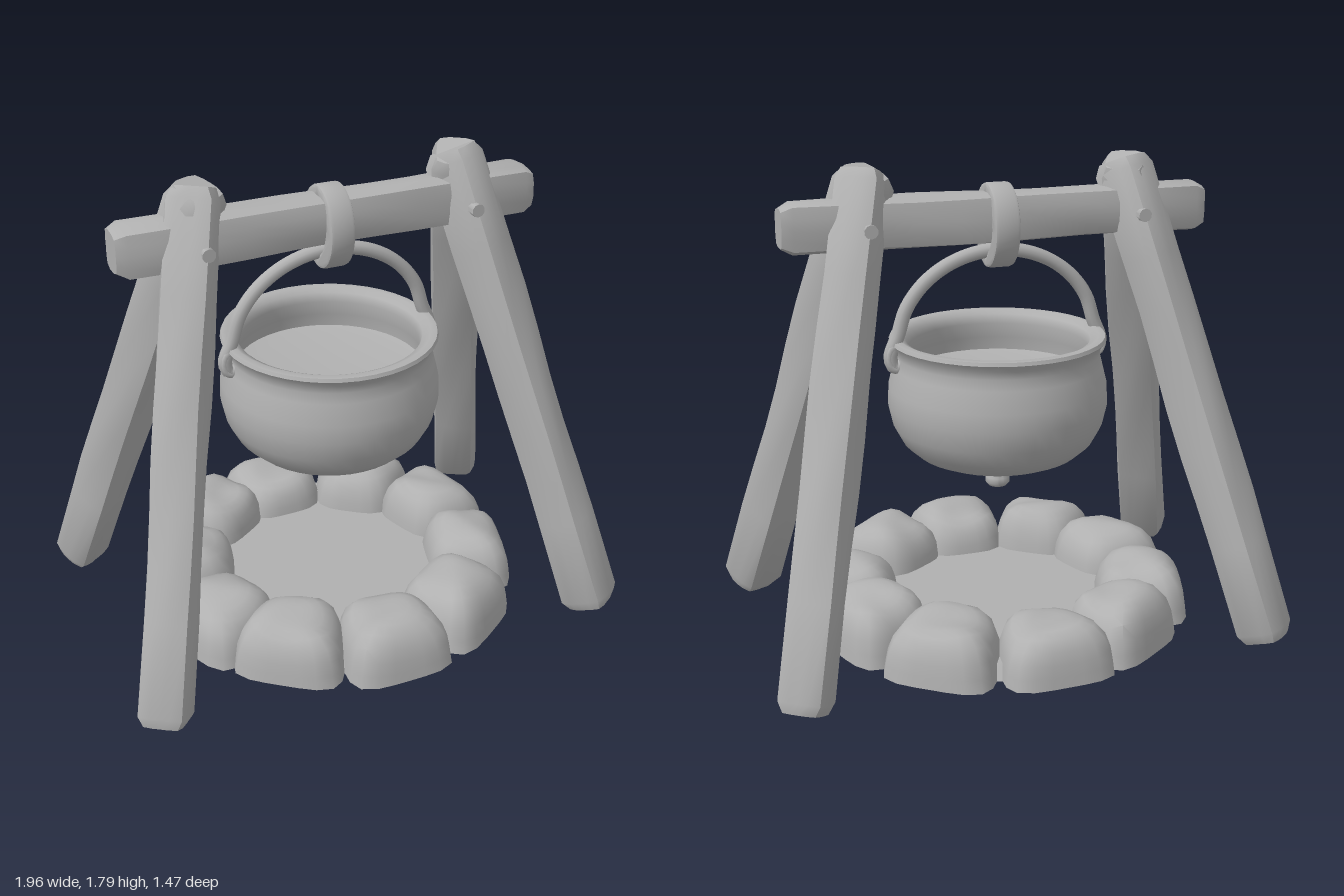
import * as THREE from 'three';
import { toCreasedNormals } from 'three/addons/utils/BufferGeometryUtils.js';

const grey = new THREE.MeshStandardMaterial({ color: 0xb0b0b0 });
grey.name = 'plain grey';

const V = (x, y, z) => new THREE.Vector3(x, y, z);

function add(parent, name, geometry, crease = 0.7) {
  const mesh = new THREE.Mesh(toCreasedNormals(geometry, crease), grey);
  mesh.name = name;
  parent.add(mesh);
  return mesh;
}

// Applies a rule to every vertex of a geometry
function reshape(geometry, rule) {
  const pos = geometry.attributes.position;
  const p = new THREE.Vector3();
  for (let i = 0; i < pos.count; i++) {
    rule(p.fromBufferAttribute(pos, i));
    pos.setXYZ(i, p.x, p.y, p.z);
  }
  return geometry;
}

// Roughly hewn square log along y, with rounded corners and chamfered ends
function logGeometry(length, halfX, halfZ, seed) {
  const rows = 10, half = length / 2, inset = 0.04;
  return reshape(new THREE.CylinderGeometry(1, 1, length, 16, rows), (p) => {
    const round = Math.hypot(p.x, p.z);
    if (round > 0.01) {
      const square = (Math.abs(p.x) ** 5 + Math.abs(p.z) ** 5) ** -0.2;
      const angle = Math.atan2(p.x, p.z);
      const end = Math.abs(p.y) > half - 0.001;
      const wobble = 1 + 0.035 * Math.sin(angle * 2 + p.y * 5 + seed) + 0.025 * Math.sin(angle * 3 - p.y * 8 + seed * 2);
      const s = square * wobble * (end ? 0.78 : 1);
      p.x *= s * halfX;
      p.z *= s * halfZ;
      if (!end && Math.abs(p.y) > half - length / rows - 0.001) p.y = Math.sign(p.y) * (half - inset);
    }
  });
}

// Rounded stone bent to its place in the ring, flat underneath
function stoneGeometry(i) {
  const height = 0.2 + 0.012 * Math.sin(i * 2.3);
  const depth = 0.175 + 0.01 * Math.sin(i * 1.7 + 1);
  const turn = i * Math.PI / 5 + 0.03 * Math.sin(i * 4.1);
  return reshape(new THREE.SphereGeometry(1, 24, 16), (p) => {
    const k = (p.x ** 4 + p.y ** 4 + p.z ** 4) ** -0.25;
    p.multiplyScalar(k);
    const up = Math.max(0, p.y);
    const shrink = 1 - 0.13 * up;
    const radius = 0.555 + depth * p.z * shrink;
    const side = p.x * shrink * (0.195 + 0.03 * p.z);
    const y = 0.06 + height * up + 0.012 * up * Math.sin(p.x * 2 + p.z * 3 + i);
    p.set(
      Math.sin(turn) * radius + Math.cos(turn) * side, y,
      Math.cos(turn) * radius - Math.sin(turn) * side);
  });
}

function buildFrame() {
  const frame = new THREE.Group();
  frame.name = 'frame';

  // Four splayed legs, each pair crossing at the top
  let seed = 1;
  for (const sx of [-1, 1]) {
    for (const sz of [-1, 1]) {
      const foot = V(0.882 * sx, 0.04, 0.575 * sz), head = V(0.49 * sx, 1.78, -0.015 * sz);
      const along = head.clone().sub(foot);
      const leg = add(frame, 'leg', logGeometry(along.length(), 0.09, 0.09, seed++));
      const dir = along.clone().normalize();
      const across = V(-dir.z, 0, dir.x).normalize();
      leg.quaternion.setFromRotationMatrix(
        new THREE.Matrix4().makeBasis(across, dir, across.clone().cross(dir)));
      leg.position.copy(foot).add(head).multiplyScalar(0.5);
    }
    // Peg pinning the legs to the beam
    const peg = add(frame, 'peg', new THREE.CylinderGeometry(0.025, 0.025, 0.34, 10).rotateX(Math.PI / 2));
    peg.position.set(0.51 * sx, 1.6, 0);
  }

  const beam = add(frame, 'crossbeam', logGeometry(1.6, 0.09, 0.08, 7).rotateZ(Math.PI / 2));
  beam.position.y = 1.6;

  // Strap hanging round the beam
  const outline = new THREE.Shape().absellipse(0, 0, 0.12, 0.145, 0, Math.PI * 2);
  outline.holes.push(new THREE.Path().absellipse(0, 0, 0.075, 0.108, 0, Math.PI * 2));
  const strap = add(frame, 'strap', new THREE.ExtrudeGeometry(outline, {
    depth: 0.07, bevelEnabled: true, bevelSize: 0.01, bevelThickness: 0.012, bevelSegments: 2, curveSegments: 16,
  }).translate(0, 0, -0.035).rotateY(Math.PI / 2));
  strap.position.y = 1.567;
  return frame;
}

function buildCauldron() {
  const cauldron = new THREE.Group();
  cauldron.name = 'cauldron';

  // Foot, belly, rolled rim and inside surface in a single profile
  const profile = [
    [0, 0.56], [0.035, 0.56], [0.047, 0.575], [0.045, 0.595], [0.035, 0.615], [0.042, 0.645], [0.08, 0.675], [0.1, 0.69],
    [0.265, 0.69], [0.31, 0.71], [0.36, 0.755], [0.395, 0.82], [0.413, 0.9], [0.41, 0.97], [0.39, 1.05], [0.38, 1.09],
    [0.387, 1.12], [0.405, 1.145], [0.4, 1.158], [0.375, 1.16], [0.345, 1.145], [0.335, 1.11], [0.35, 1.05], [0.355, 1.0],
    [0.3, 0.99], [0, 0.985],
  ].map(([r, y]) => new THREE.Vector2(r, y));
  add(cauldron, 'pot', new THREE.LatheGeometry(profile, 40), 0.9);

  // Arched handle with its ends hooked through the lugs
  const path = [V(-0.36, 1.075, 0), V(-0.395, 1.06, 0), V(-0.412, 1.1, 0)];
  for (let i = 0; i <= 10; i++) {
    const a = Math.PI * (1 - (i + 0.5) / 11);
    path.push(V(0.385 * Math.cos(a), 1.135 + 0.34 * Math.sin(a), 0));
  }
  path.push(V(0.412, 1.1, 0), V(0.395, 1.06, 0), V(0.36, 1.075, 0));
  add(cauldron, 'handle', new THREE.TubeGeometry(new THREE.CatmullRomCurve3(path), 60, 0.026, 10), 1);

  for (const sx of [-1, 1]) {
    const lug = add(cauldron, 'lug', new THREE.TorusGeometry(0.032, 0.016, 8, 16), 1);
    lug.scale.set(0.8, 1.3, 1.8);
    lug.position.set(0.395 * sx, 1.1, 0);
  }
  return cauldron;
}

function buildFirePit() {
  const pit = new THREE.Group();
  pit.name = 'firePit';
  for (let i = 0; i < 10; i++) add(pit, 'stone', stoneGeometry(i), 0.9);
  // Hearth floor inside the stones
  add(pit, 'hearthFloor', new THREE.CylinderGeometry(0.6, 0.64, 0.05, 40)).position.y = 0.085;
  return pit;
}

export function createModel() {
  const model = new THREE.Group();
  model.name = 'campfireCauldron';
  model.add(buildFrame(), buildCauldron(), buildFirePit());
  return model;
}
